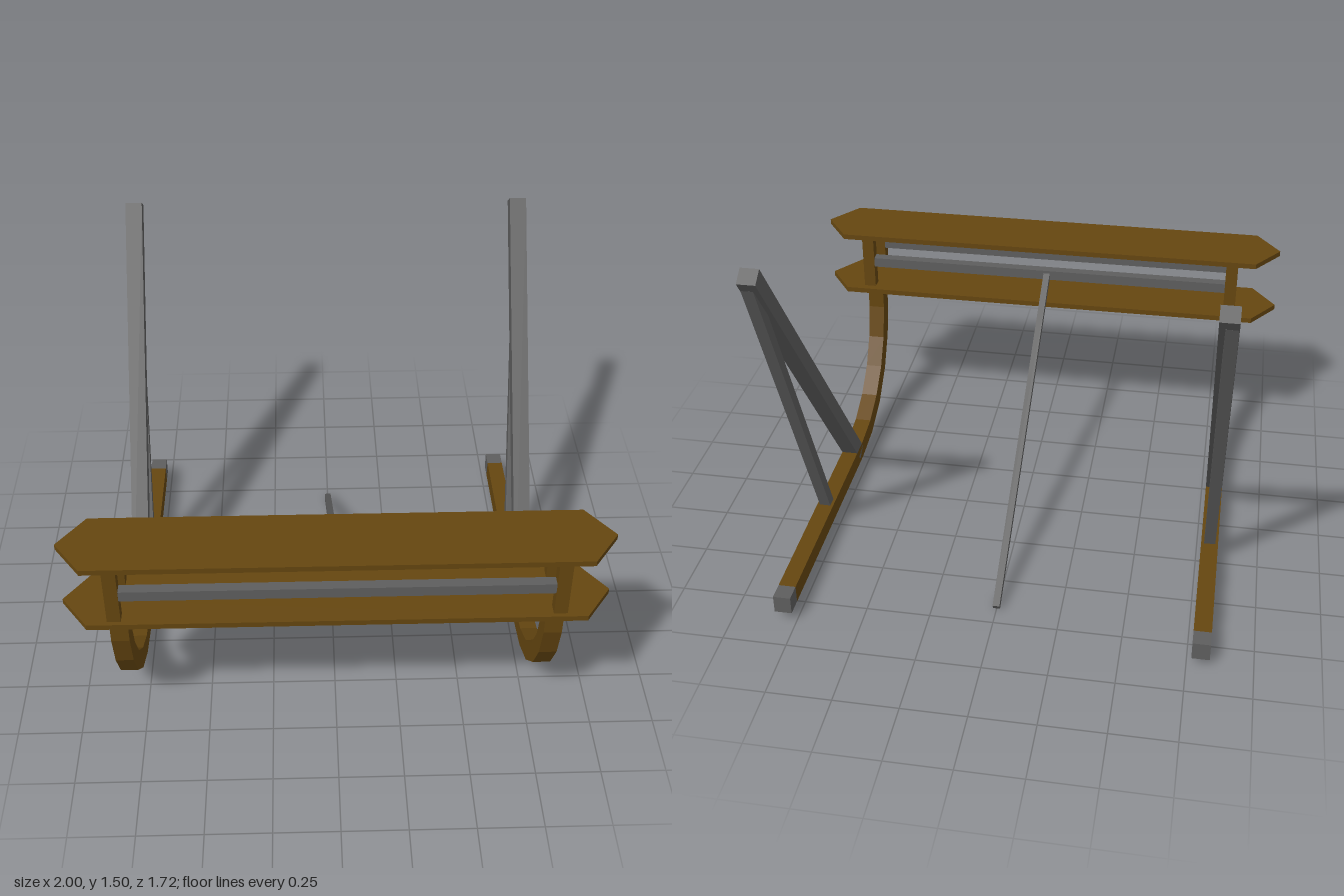
import * as THREE from 'three';

export function createModel() {
  const model = new THREE.Group();
  const wood = new THREE.MeshStandardMaterial({ color: 0x654610 });
  wood.name = 'brown wood';
  const metal = new THREE.MeshStandardMaterial({ color: 0x5e5e5e });
  metal.name = 'grey metal';

  const add = (name, geometry, material) => {
    const mesh = new THREE.Mesh(geometry, material);
    mesh.name = name;
    model.add(mesh);
    return mesh;
  };
  const box = (name, material, size, position) =>
    add(name, new THREE.BoxGeometry(...size), material).position.set(...position);

  // Square beam running between two points
  const beam = (name, material, from, to, width, depth) => {
    const a = new THREE.Vector3(...from), b = new THREE.Vector3(...to);
    const mesh = add(name, new THREE.BoxGeometry(width, depth, a.distanceTo(b)), material);
    mesh.position.copy(a).add(b).multiplyScalar(0.5);
    mesh.lookAt(b);
  };
  const outline = (points) => new THREE.Shape(points.map((p) => new THREE.Vector2(...p)));

  // Curved runner profile as (z, y): along the underside, then back on top
  const runnerShape = outline([
    [-0.792, 0.036], [0.204, 0.036], [0.375, 0.06], [0.523, 0.125], [0.648, 0.24],
    [0.727, 0.375], [0.764, 0.514], [0.764, 0.675], [0.69, 0.675], [0.69, 0.537],
    [0.653, 0.398], [0.583, 0.282], [0.477, 0.19], [0.352, 0.132], [0.204, 0.109], [-0.792, 0.109],
  ]);
  const thick = 0.068;
  const runnerGeometry = new THREE.ExtrudeGeometry(runnerShape, { depth: thick, bevelEnabled: false });
  runnerGeometry.translate(0, 0, -thick / 2).rotateY(-Math.PI / 2);

  for (const [side, s] of [['left', 1], ['right', -1]]) {
    const x = 0.802 * s;
    add(side + 'Runner', runnerGeometry, wood).position.x = x;
    box(side + 'Grip', metal, [thick, 0.073, 0.07], [x, 0.0725, -0.827]);
    // Raked handle and its brace
    beam(side + 'Handle', metal, [x, 0.07, 0.187], [x, 1.481, -0.831], thick, 0.063);
    beam(side + 'Brace', metal, [x, 0.08, -0.232], [0.812 * s, 1.43, -0.808], 0.045, 0.042);
    // Spacers between the planks
    for (const z of [0.822, 0.632]) {
      box(side + 'Spacer', wood, [0.05, 0.245, 0.045], [x, 0.81, z]);
    }
  }

  // Two planks with pointed ends
  const plankShape = outline([
    [-1, 0.72], [-0.9, 0.579], [0.9, 0.579], [1, 0.72], [0.9, 0.861], [-0.9, 0.861],
  ]);
  const plankGeometry = new THREE.ExtrudeGeometry(plankShape, { depth: 0.022, bevelEnabled: false });
  plankGeometry.rotateX(Math.PI / 2);
  add('upperPlank', plankGeometry, wood).position.y = 0.952;
  add('lowerPlank', plankGeometry, wood).position.y = 0.69;

  // Crossbars joining the spacers, and the trailing rod
  for (const z of [0.822, 0.632]) {
    box('crossbar', metal, [1.57, 0.042, 0.04], [0, 0.808, z]);
  }
  beam('trailingRod', metal, [0, 0.808, 0.625], [0, 0.013, -0.675], 0.027, 0.029);

  return model;
}
